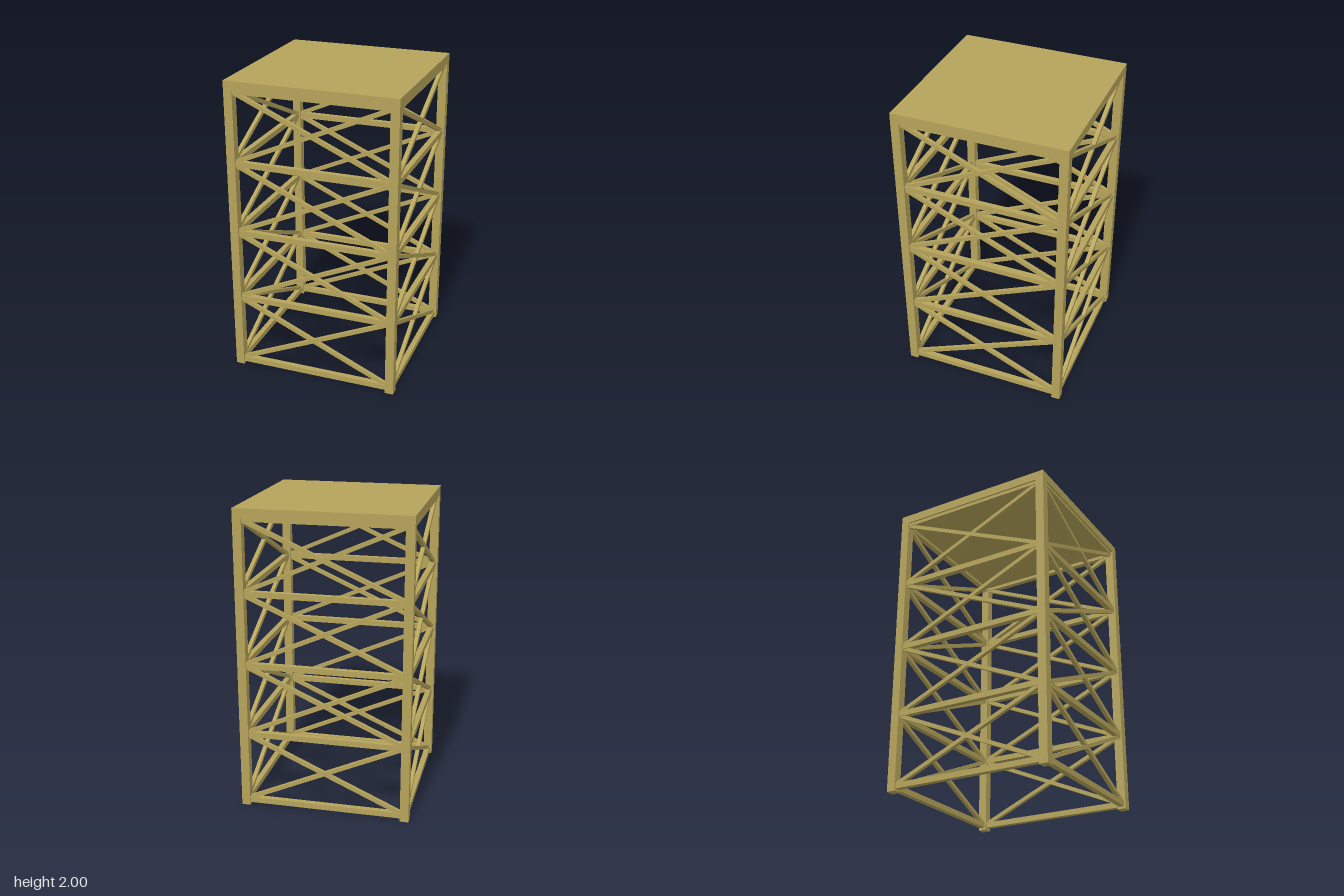
import * as THREE from 'three';

const HALF = 0.5625;             // outer half width
const LEG = 0.057;               // leg thickness
const C = HALF - LEG / 2;        // leg centre line
const DECK = 0.06;               // deck thickness
const LEVELS = [0.035, 0.51, 0.985, 1.46, 1.935];

export function createModel() {
  const model = new THREE.Group();
  model.name = 'braceTower';
  const wood = new THREE.MeshStandardMaterial({ color: 0xb5a35a });
  wood.name = 'wood';

  const box = (parent, name, w, h, d, x, y, z) => {
    const mesh = new THREE.Mesh(new THREE.BoxGeometry(w, h, d), wood);
    mesh.name = name;
    mesh.position.set(x, y, z);
    parent.add(mesh);
    return mesh;
  };

  // Flat deck on top
  box(model, 'deck', HALF * 2, DECK, HALF * 2, 0, 2 - DECK / 2, 0);

  // Four corner legs
  for (const x of [-C, C]) {
    for (const z of [-C, C]) box(model, 'leg', LEG, 2 - DECK, LEG, x, 1 - DECK / 2, z);
  }

  // Four identical side frames: level beams and crossed braces
  for (let side = 0; side < 4; side++) {
    const frame = new THREE.Group();
    frame.name = 'sideFrame';
    frame.rotation.y = side * Math.PI / 2;
    model.add(frame);

    LEVELS.forEach((y, i) => {
      box(frame, 'levelBeam', C * 2, 0.037, 0.037, 0, y, C);
      if (i === LEVELS.length - 1) return;
      const rise = LEVELS[i + 1] - y;
      for (const dir of [-1, 1]) {
        const brace = box(frame, 'crossBrace', Math.hypot(C * 2, rise), 0.026, 0.026, 0, y + rise / 2, C);
        brace.rotation.z = dir * Math.atan2(rise, C * 2);
      }
    });
  }
  return model;
}
